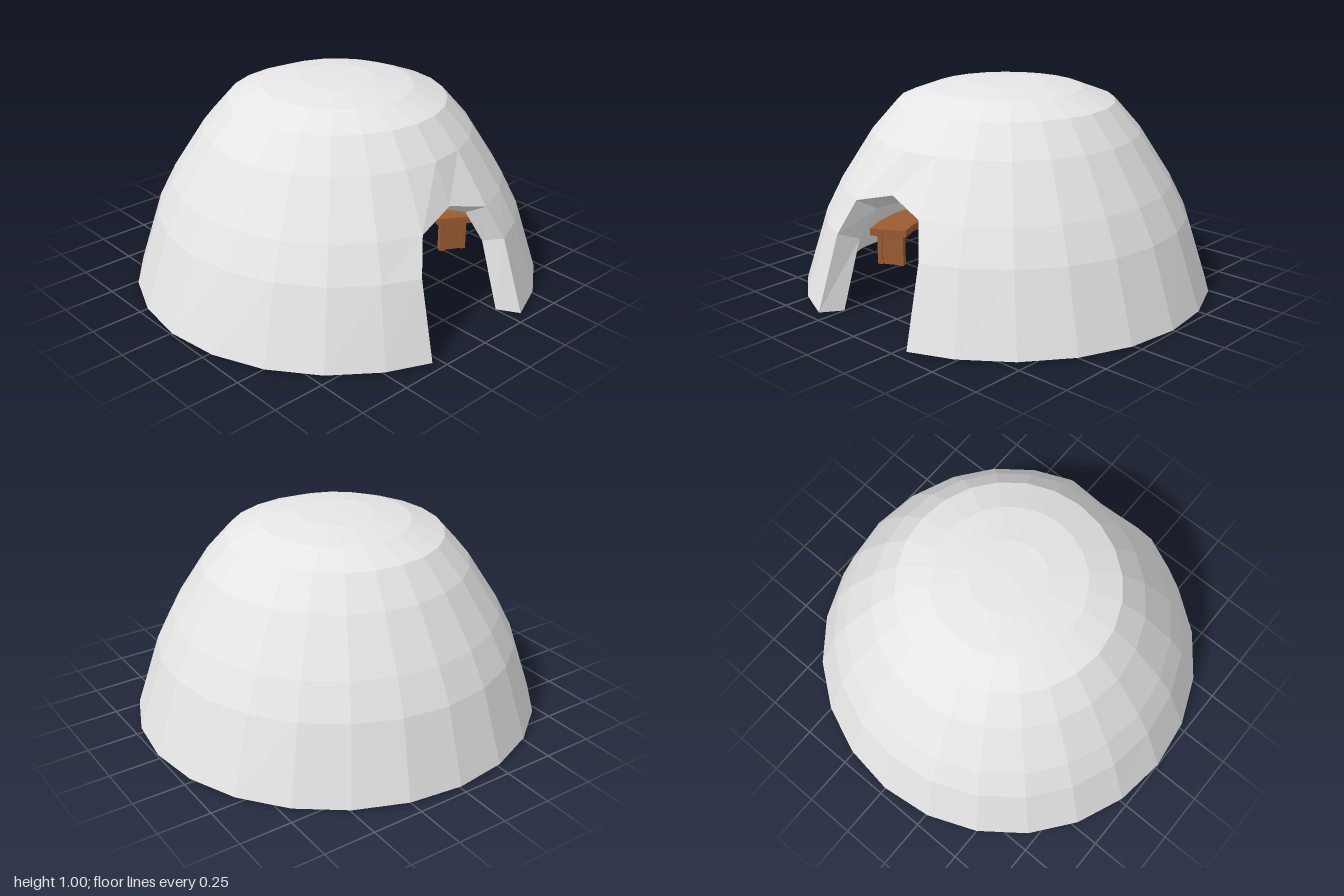
import * as THREE from 'three';

const stone = new THREE.MeshStandardMaterial({ color: 0xe6e6e6, flatShading: true });
stone.name = 'pale stone';
const wood = new THREE.MeshStandardMaterial({ color: 0x9c5c33, flatShading: true });
wood.name = 'brown wood';

const CENTER_Z = 0.019;
const SIDES = 24;

// Wall profiles as [radius, height], from the ground up to the apex
const OUTER = [[1, 0.01], [0.878, 0.37], [0.797, 0.53], [0.643, 0.77], [0.52, 0.91], [0.362, 0.97], [0.182, 0.997], [0, 1]];
const INNER = [[0.88, 0], [0.77, 0.328], [0.698, 0.475], [0.56, 0.69], [0.457, 0.805], [0.32, 0.855], [0.16, 0.878], [0, 0.88]];

function addMesh(parent, name, geometry, material, x = 0, y = 0, z = 0) {
  const mesh = new THREE.Mesh(geometry, material);
  mesh.name = name;
  mesh.position.set(x, y, z);
  parent.add(mesh);
  return mesh;
}

// Double-walled dome with a pointed doorway at the front
function domeGeometry() {
  const positions = [];
  const point = (profile, ring, column) => {
    let [r, y] = profile[ring];
    let angle = (column / SIDES) * Math.PI * 2;
    // widen the lower door posts and lift the middle of the lintel
    if (ring < 2 && Math.abs(column) === 1) {
      if (ring === 1) angle *= profile === OUTER ? 1.2 : 1.23;
      else angle *= profile === OUTER ? 1.163 : 1.11;
    }
    if (ring === 2 && column === 0) {
      r -= 0.064;
      y += profile === OUTER ? 0.057 : 0.068;
    }
    // the footing is slightly shallower than wide
    const depth = ring === 0 ? 0.986 : 1;
    return [r * Math.sin(angle), y, CENTER_Z + depth * r * Math.cos(angle)];
  };
  const tri = (a, b, c) => positions.push(...a, ...b, ...c);
  const quad = (a, b, c, d) => { tri(a, b, c); tri(a, c, d); };

  const last = OUTER.length - 1;
  for (let col = -1; col < SIDES - 1; col++) {
    const next = col + 1 === SIDES - 1 ? -1 : col + 1;
    const isDoor = col < 1;
    for (let ring = isDoor ? 2 : 0; ring < last; ring++) {
      for (const profile of [OUTER, INNER]) {
        const a = point(profile, ring, col), b = point(profile, ring, next);
        const c = point(profile, ring + 1, next), d = point(profile, ring + 1, col);
        if (ring === last - 1) profile === OUTER ? tri(a, b, c) : tri(b, a, c);
        else profile === OUTER ? quad(a, b, c, d) : quad(b, a, d, c);
      }
    }
    // rim on the ground
    if (!isDoor) quad(point(INNER, 0, col), point(INNER, 0, next), point(OUTER, 0, next), point(OUTER, 0, col));
  }

  // door reveal, walked up one post and down the other
  const path = [[0, -1], [1, -1], [2, -1], [2, 0], [2, 1], [1, 1], [0, 1]];
  for (let i = 0; i < path.length - 1; i++) {
    const p = path[i], q = path[i + 1];
    quad(point(OUTER, ...p), point(INNER, ...p), point(INNER, ...q), point(OUTER, ...q));
  }

  const geometry = new THREE.BufferGeometry();
  geometry.setAttribute('position', new THREE.Float32BufferAttribute(positions, 3));
  geometry.computeVertexNormals();
  return geometry;
}

// Eight-sided table on four legs
function createTable() {
  const table = new THREE.Group();
  table.name = 'table';
  const top = new THREE.CylinderGeometry(0.345, 0.345, 0.052, 8);
  top.rotateY(Math.PI / 8);
  addMesh(table, 'tableTop', top, wood, 0, 0.229, 0);
  for (const x of [-1, 1]) {
    for (const z of [-1, 1]) {
      addMesh(table, 'tableLeg', new THREE.CylinderGeometry(0.033, 0.033, 0.203, 8), wood, x * 0.165, 0.1015, z * 0.165);
    }
  }
  return table;
}

// Curved bench centred on +x, standing on two radial boards with posts
function createBench() {
  const bench = new THREE.Group();
  bench.name = 'bench';
  const half = THREE.MathUtils.degToRad(32.5), steps = 6;
  const arc = (r) => Array.from({ length: steps + 1 }, (_, i) => {
    const a = -half + (2 * half * i) / steps;
    return new THREE.Vector2(r * Math.cos(a), r * Math.sin(a));
  });
  const shape = new THREE.Shape([...arc(0.71), ...arc(0.52).reverse()]);
  const seat = new THREE.ExtrudeGeometry(shape, { depth: 0.036, bevelEnabled: false });
  seat.rotateX(-Math.PI / 2);
  addMesh(bench, 'seat', seat, wood, 0, 0.168, 0);

  for (const side of [-1, 1]) {
    const support = new THREE.Group();
    support.name = 'benchSupport';
    support.rotation.y = side * THREE.MathUtils.degToRad(27.5);
    addMesh(support, 'board', new THREE.BoxGeometry(0.14, 0.168, 0.018), wood, 0.617, 0.084, 0);
    for (const r of [0.56, 0.674]) {
      addMesh(support, 'post', new THREE.BoxGeometry(0.026, 0.168, 0.034), wood, r, 0.084, 0);
    }
    bench.add(support);
  }
  return bench;
}

export function createModel() {
  const model = new THREE.Group();
  model.name = 'domeShelter';
  addMesh(model, 'dome', domeGeometry(), stone);

  const furniture = new THREE.Group();
  furniture.name = 'furniture';
  furniture.position.z = CENTER_Z;
  furniture.add(createTable());
  // benches at the left, back and right; the doorway side stays open
  for (let i = 0; i < 3; i++) {
    const bench = createBench();
    bench.rotation.y = (i * Math.PI) / 2;
    furniture.add(bench);
  }
  model.add(furniture);
  return model;
}
